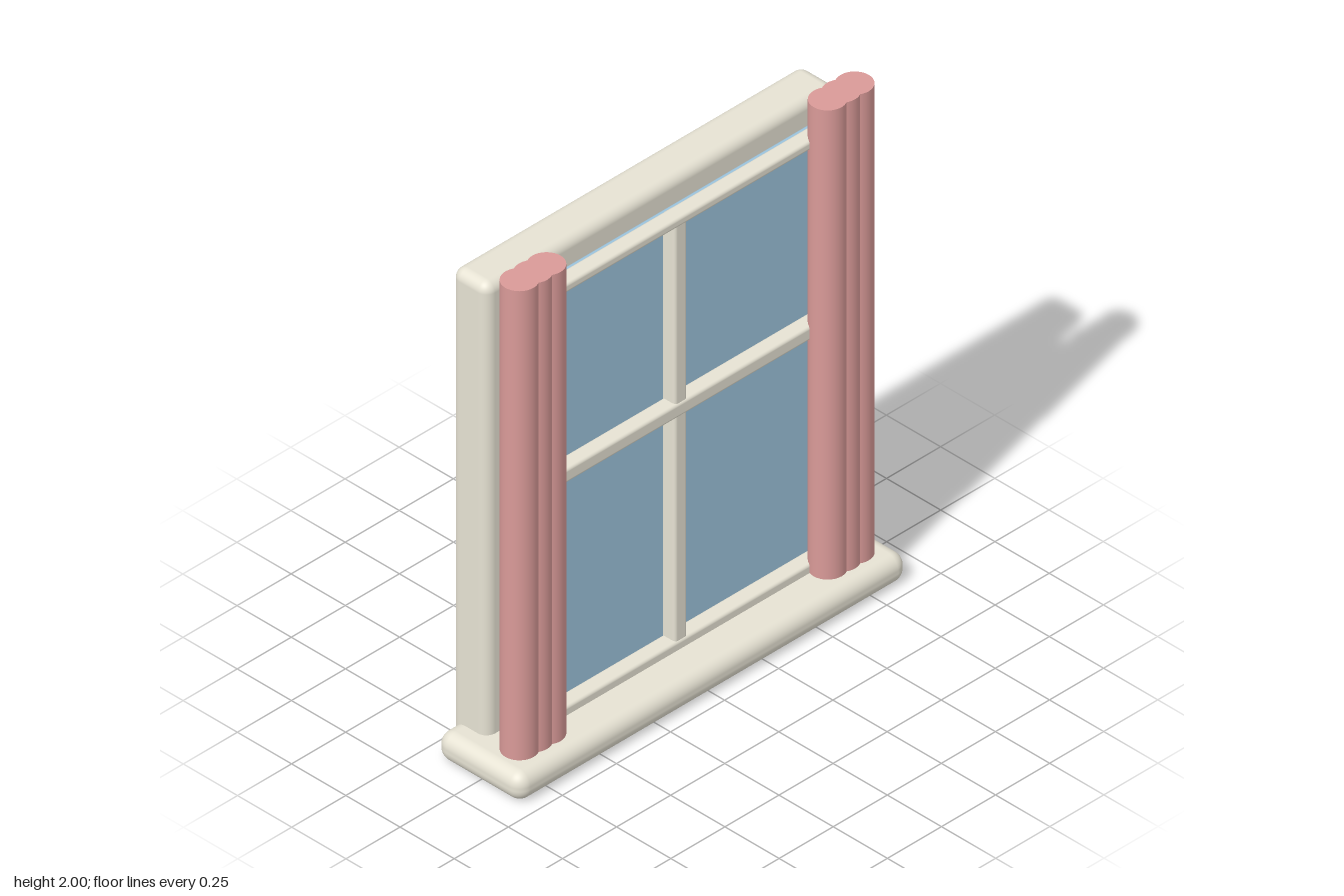
import * as THREE from 'three';
import { RoundedBoxGeometry } from 'three/addons/geometries/RoundedBoxGeometry.js';

const cream = new THREE.MeshStandardMaterial({ color: 0xe6e2d3 });
const blue = new THREE.MeshStandardMaterial({ color: 0x9cc3dc });
const pink = new THREE.MeshStandardMaterial({ color: 0xd99a98 });

// Rounded box given by its [min, max] extent on each axis
function block(name, [x0, x1], [y0, y1], [z0, z1], radius, material) {
  const geometry = new RoundedBoxGeometry(x1 - x0, y1 - y0, z1 - z0, 5, radius);
  const mesh = new THREE.Mesh(geometry, material);
  mesh.position.set((x0 + x1) / 2, (y0 + y1) / 2, (z0 + z1) / 2);
  mesh.name = name;
  return mesh;
}

// Curtain made of three overlapping upright folds
function curtain(name, side) {
  const group = new THREE.Group();
  group.name = name;
  const bottom = 0.09, top = 2;
  for (const x of [0.65, 0.712, 0.775]) {
    const fold = new THREE.Mesh(new THREE.CylinderGeometry(0.065, 0.065, top - bottom, 32), pink);
    fold.position.set(side * x, (top + bottom) / 2, 0.077);
    fold.name = 'curtainFold';
    group.add(fold);
  }
  return group;
}

export function createModel() {
  const model = new THREE.Group();
  model.name = 'window';

  // Wall panel and sill
  model.add(block('backPanel', [-0.81, 0.81], [0.02, 1.925], [-0.205, -0.04], 0.04, cream));
  model.add(block('sill', [-0.9, 0.9], [0, 0.112], [-0.188, 0.203], 0.05, cream));

  // Pane
  model.add(block('glass', [-0.71, 0.71], [0.127, 1.83], [-0.037, -0.006], 0.01, blue));

  // Sash frame around the pane
  const frame = new THREE.Group();
  frame.name = 'frame';
  const depth = [-0.01, 0.055];
  frame.add(block('topRail', [-0.745, 0.745], [1.81, 1.848], depth, 0.012, cream));
  frame.add(block('bottomRail', [-0.745, 0.745], [0.09, 0.147], depth, 0.012, cream));
  for (const side of [-1, 1]) {
    const x = side * 0.725;
    frame.add(block('sideRail', [x - 0.02, x + 0.02], [0.09, 1.848], depth, 0.012, cream));
  }

  // Glazing bars
  frame.add(block('crossBar', [-0.73, 0.73], [1.045, 1.102], [-0.008, 0.055], 0.012, cream));
  frame.add(block('uprightBar', [-0.029, 0.029], [0.1, 1.845], [-0.014, 0.05], 0.012, cream));
  model.add(frame);

  model.add(curtain('leftCurtain', 1), curtain('rightCurtain', -1));
  return model;
}
